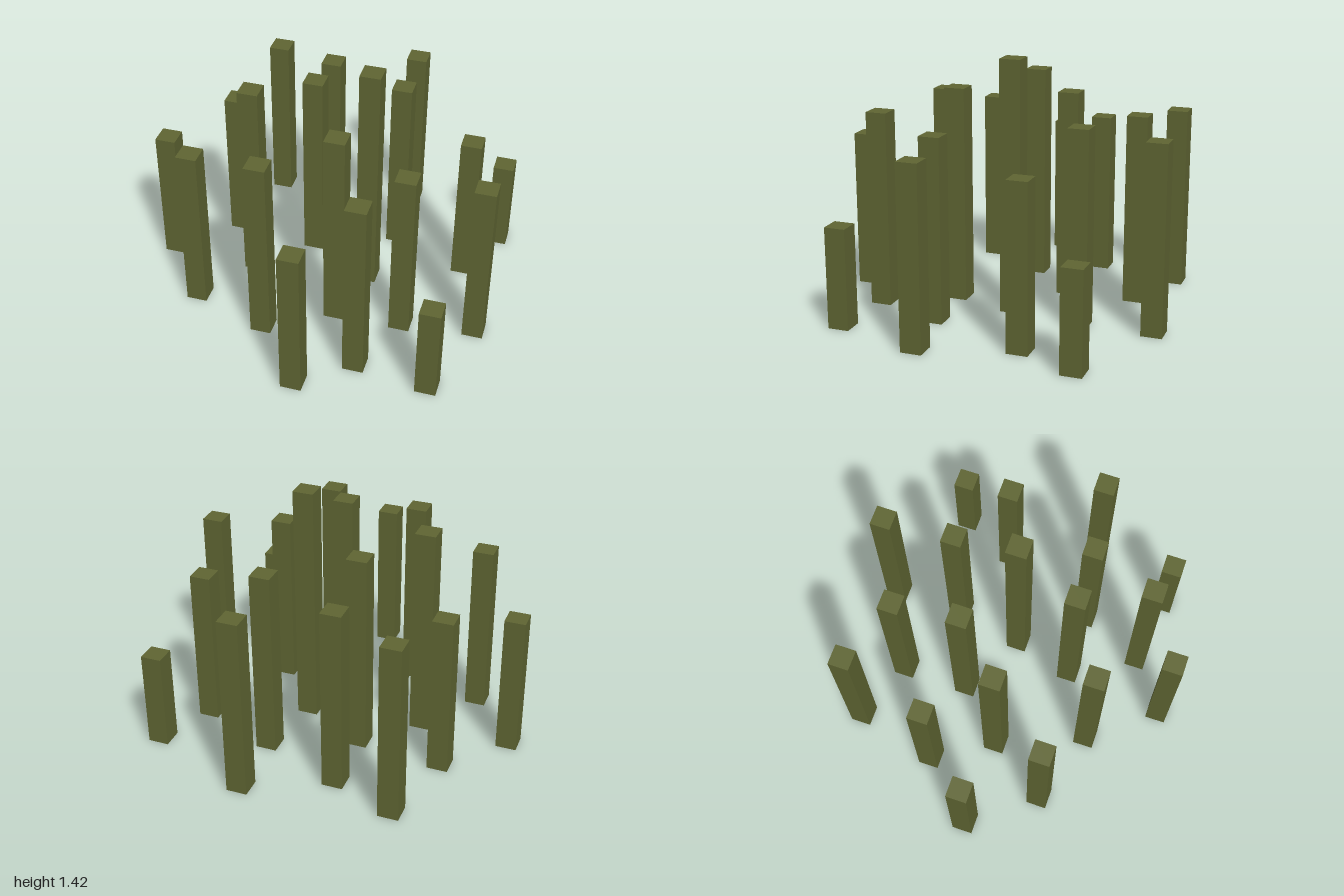
import * as THREE from 'three';

// Each column: centre x, centre z, height
const COLUMNS = [
  [-0.517, -0.805, 1.04], [-0.15, -0.665, 1.075], [0.313, -0.888, 1.055],
  [0.92, -0.636, 0.562], [0.323, -0.475, 1.097], [-0.636, -0.323, 0.94],
  [-0.142, -0.272, 1.182], [0.767, -0.3, 0.922], [0.238, -0.068, 1.42],
  [-0.942, 0.003, 0.823], [-0.425, -0.015, 1.245], [0.147, 0.29, 1.224],
  [0.527, 0.277, 1.038], [0.937, 0.214, 1.01], [-0.658, 0.367, 1.01],
  [-0.216, 0.515, 1.135], [0.364, 0.66, 1.104], [0.78, 0.711, 0.568],
  [0.08, 0.882, 0.902],
].map(([x, z, h]) => (x === -0.425 ? [x, 0.016, h] : [x, z, h]));

const WIDTH = 0.117;

export function createModel() {
  const group = new THREE.Group();
  group.name = 'columnField';

  const olive = new THREE.MeshStandardMaterial({ color: 0x606633 });
  olive.name = 'olive';

  // Square columns standing on the ground
  COLUMNS.forEach(([x, z, height], i) => {
    const column = new THREE.Mesh(new THREE.BoxGeometry(WIDTH, height, WIDTH), olive);
    column.name = `column${i + 1}`;
    column.position.set(x, height / 2, z);
    group.add(column);
  });

  return group;
}
